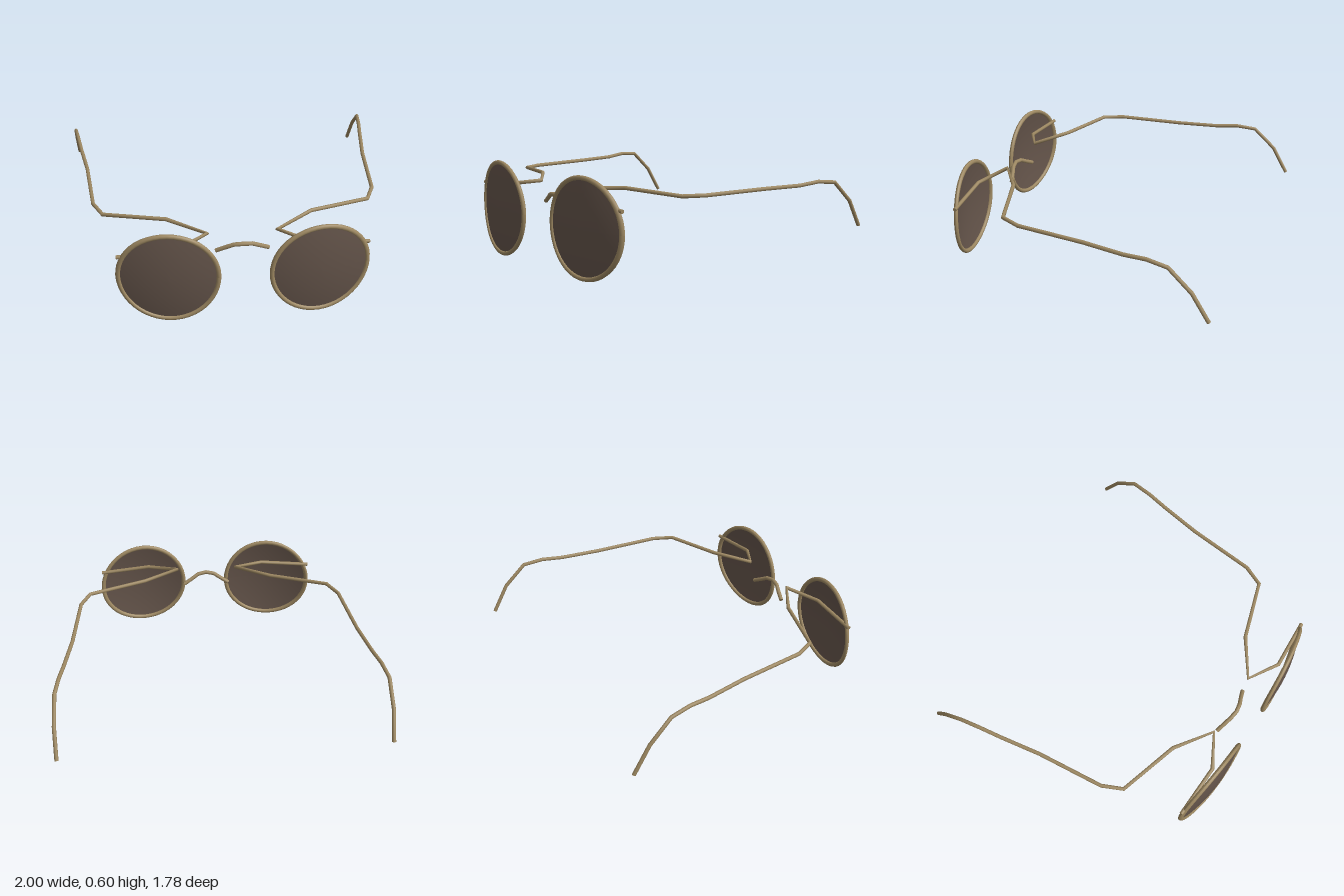
import * as THREE from 'three';

const brass = new THREE.MeshStandardMaterial({ color: 0x9c8761 });
brass.name = 'brass wire';
const tint = new THREE.MeshStandardMaterial({ color: 0x64544a, side: THREE.DoubleSide });
tint.name = 'tinted lens';

// Curve that visits each bend exactly, so the wire keeps crisp corners
class BentWire extends THREE.Curve {
  constructor(points) {
    super();
    this.points = points;
  }
  getPointAt(u) {
    return this.points[Math.round(u * (this.points.length - 1))].clone();
  }
  getTangentAt(u) {
    const p = this.points, i = Math.round(u * (p.length - 1));
    const t = new THREE.Vector3();
    if (i > 0) t.add(p[i].clone().sub(p[i - 1]).normalize());
    if (i < p.length - 1) t.add(p[i + 1].clone().sub(p[i]).normalize());
    return t.normalize();
  }
}

// Round wire through a list of points, closed by a disc at each end
function wire(name, coords, radius) {
  const group = new THREE.Group();
  group.name = name;
  const points = coords.map(c => new THREE.Vector3(...c));
  const curve = new BentWire(points);
  group.add(new THREE.Mesh(new THREE.TubeGeometry(curve, points.length - 1, radius, 10), brass));
  for (const end of [0, 1]) {
    const cap = new THREE.Mesh(new THREE.CircleGeometry(radius, 10), brass);
    const outward = curve.getTangentAt(end).multiplyScalar(end ? 1 : -1);
    cap.quaternion.setFromUnitVectors(new THREE.Vector3(0, 0, 1), outward);
    cap.position.copy(curve.getPointAt(end));
    group.add(cap);
  }
  group.children.forEach(m => { m.name = name + 'Wire'; });
  return group;
}

// Wrap a flat round part backwards towards the temple, with an optional dome
const LENS_X = 0.44, LENS_Y = 0.305, RIM_R = 0.287;
function wrap(geometry, side, dome) {
  const p = geometry.attributes.position;
  for (let i = 0; i < p.count; i++) {
    const x = p.getX(i), y = p.getY(i), t = side * x / 0.29;
    const bulge = dome * Math.max(0, 1 - (x * x + y * y) / (RIM_R * RIM_R));
    p.setZ(i, p.getZ(i) + 0.857 - 0.035 * t - 0.022 * t * t + bulge);
  }
  geometry.translate(side * LENS_X, LENS_Y, 0);
  geometry.computeVertexNormals();
  return geometry;
}

// Folded hinge wire, long arm and drooping ear hook
const ARM = [
  [0.73, 0.435, 0.80], [0.40, 0.46, 0.815], [0.205, 0.493, 0.705],
  [0.43, 0.505, 0.55], [0.80, 0.49, 0.435], [0.857, 0.49, 0.31],
  [0.897, 0.49, -0.11], [0.94, 0.49, -0.37], [0.962, 0.503, -0.51],
  [0.981, 0.49, -0.64], [0.988, 0.362, -0.78], [0.984, 0.195, -0.88],
];

const BRIDGE = [
  [-0.155, 0.372, 0.708], [-0.10, 0.402, 0.725], [-0.055, 0.428, 0.741], [0, 0.436, 0.75],
  [0.055, 0.428, 0.741], [0.10, 0.402, 0.725], [0.155, 0.372, 0.708],
];

export function createModel() {
  const model = new THREE.Group();
  model.name = 'roundGlasses';

  for (const side of [1, -1]) {
    const label = side > 0 ? 'left' : 'right';
    const rim = new THREE.Mesh(wrap(new THREE.TorusGeometry(RIM_R, 0.014, 10, 48), side, 0), brass);
    rim.name = label + 'Rim';
    const lens = new THREE.Mesh(wrap(new THREE.RingGeometry(0, RIM_R, 48, 8), side, 0.025), tint);
    lens.name = label + 'Lens';
    const arm = wire(label + 'Arm', ARM.map(([x, y, z]) => [side * x, y, z]), 0.012);
    model.add(rim, lens, arm);
  }

  // Arched nose bridge
  model.add(wire('bridge', BRIDGE, 0.013));
  return model;
}
